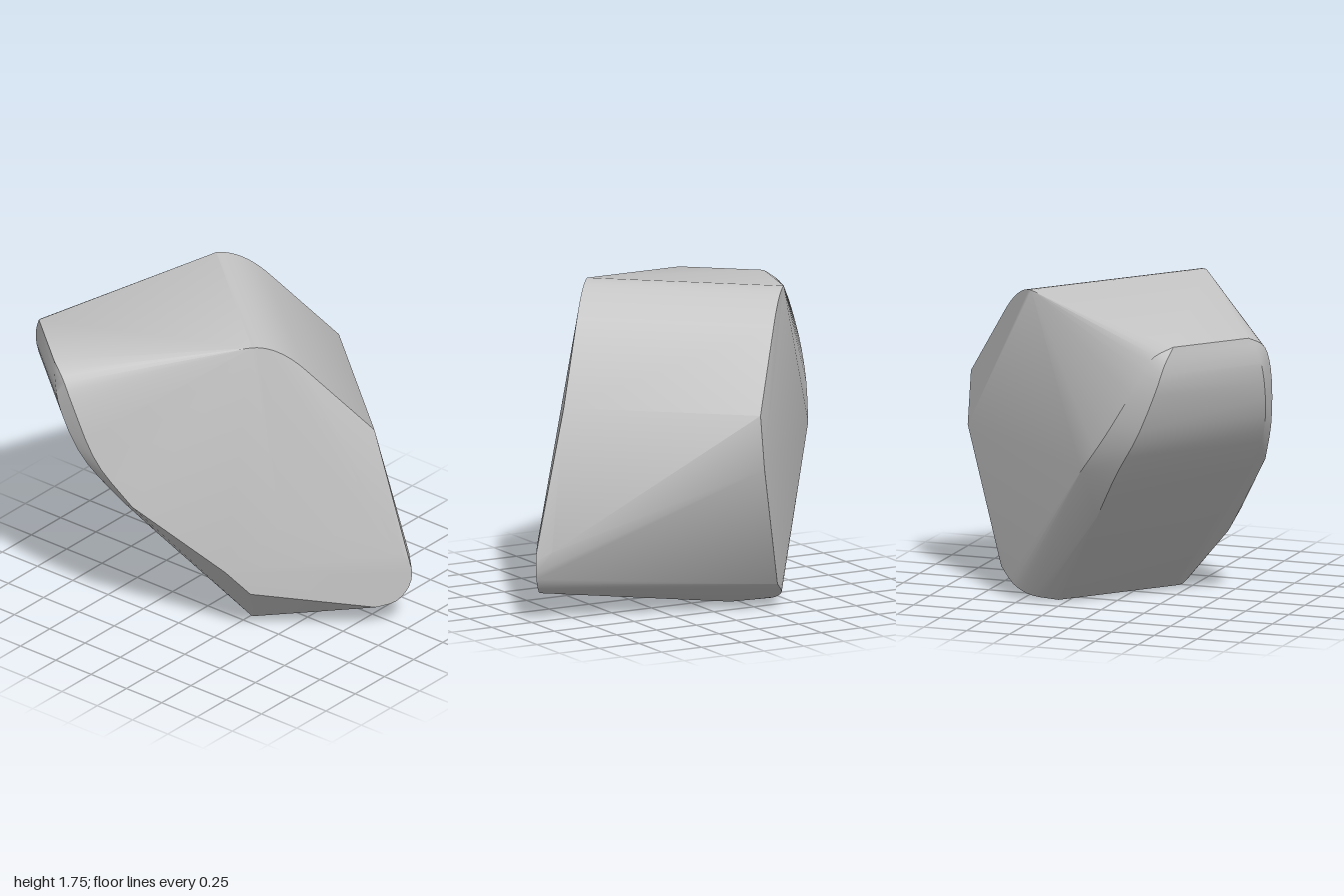
import * as THREE from 'three';
import { ConvexGeometry } from 'three/addons/geometries/ConvexGeometry.js';
import { toCreasedNormals } from 'three/addons/utils/BufferGeometryUtils.js';

// The rock is laid out along a turned axis: u runs across it, v points to its nose
const at = ([u, v, y]) => new THREE.Vector3(0.764 * u - 0.645 * v, y, 0.645 * u + 0.764 * v);

// Rounded edge through a few points
const arc = (list, steps) => new THREE.CatmullRomCurve3(list.map(at)).getPoints(steps);

// Rounded ridge on top, then a straight slope down to the rear corner
const ridge = (u) => [
  ...new THREE.QuadraticBezierCurve3(at([u, 0, 1.75]), at([u, -0.143, 1.75]), at([u, -0.3, 1.58])).getPoints(10),
  at([u, -0.68, 1.17]),
];

export function createModel() {
  const stone = new THREE.MeshStandardMaterial({ color: 0xc6c6c6 });
  stone.name = 'stone grey';

  // Nose: two inner rails along the front, two outer rails where it rounds into the sides
  const nose = [
    [[-0.33, 1.04, 1.6], [-0.39, 1.045, 1.5], [-0.43, 1.03, 1.37], [-0.49, 0.92, 1.09], [-0.52, 0.75, 0.86], [-0.51, 0.51, 0.57]],
    [[0.14, 1.04, 1.6], [0.2, 1.045, 1.5], [0.24, 1.03, 1.37], [0.31, 0.92, 1.09], [0.35, 0.745, 0.86], [0.32, 0.5, 0.57]],
    [[-0.33, 1.04, 1.6], [-0.435, 0.996, 1.54], [-0.532, 0.92, 1.33], [-0.612, 0.778, 1.08], [-0.66, 0.6, 0.86]],
    [[0.14, 1.04, 1.6], [0.252, 1.011, 1.54], [0.319, 0.967, 1.4], [0.39, 0.849, 1.08], [0.455, 0.663, 0.82]],
  ].flatMap((rail) => arc(rail, 14));

  // Rounded corner of the flat left end
  const endCorner = arc([
    [0.575, -0.728, 0.51], [0.575, -0.837, 0.42], [0.575, -0.867, 0.33],
    [0.575, -0.844, 0.23], [0.575, -0.774, 0.155], [0.575, -0.666, 0.13],
  ], 14);

  // Rounded ends of the base
  const baseRight = arc([[-0.469, 0, 0], [-0.596, -0.086, 0.025], [-0.655, -0.155, 0.07], [-0.66, -0.3, 0.15]], 10);
  const baseLeft = arc([[0.228, -0.01, 0], [0.31, -0.02, 0], [0.358, -0.04, 0.02], [0.421, -0.028, 0.09]], 8);

  // Remaining sharp corners: left end, rear and underside
  const corners = [
    [0.575, 0.03, 0.28], [0.575, 0.17, 0.43], [0.575, -0.14, 0.69],
    [-0.66, -0.677, 0.87], [0.485, -0.867, 0.4], [-0.366, -0.123, 0],
  ].map(at);

  const hull = new ConvexGeometry([
    ...ridge(-0.638), ...ridge(0.455), ...nose,
    ...endCorner, ...baseRight, ...baseLeft, ...corners,
  ]);
  const boulder = new THREE.Mesh(toCreasedNormals(hull, 0.55), stone);
  boulder.name = 'boulder';

  const model = new THREE.Group();
  model.name = 'rock';
  model.add(boulder);
  return model;
}
